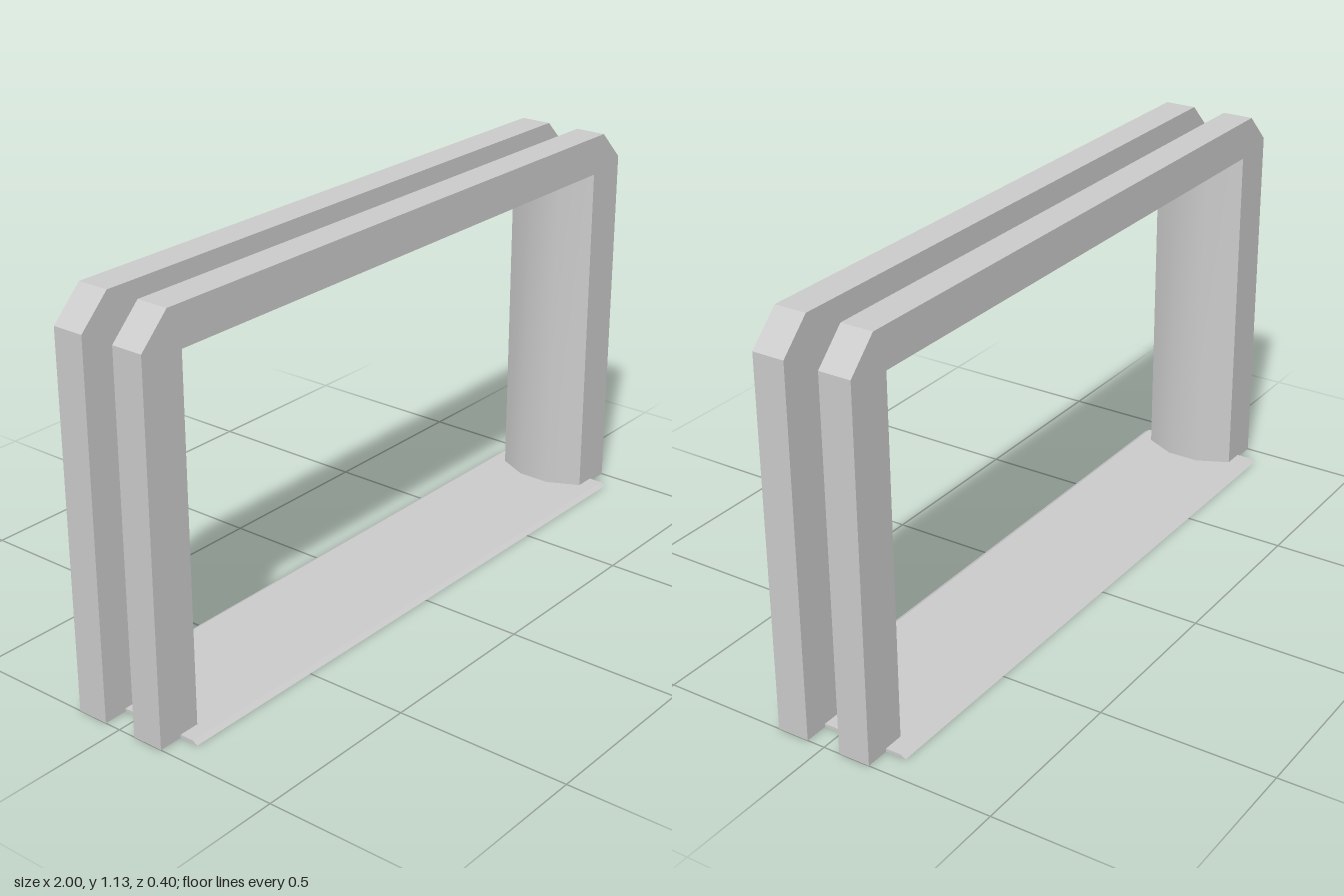
import * as THREE from 'three';
import { mergeGeometries, toCreasedNormals } from 'three/addons/utils/BufferGeometryUtils.js';

const OUT = 0.142, GAP = 0.05;          // outer and gap-side z of each casing
const WIDE = 0.87, HIGH = 1.02;         // opening at the outer faces
const NARROW = 0.825, LOW = 0.972;      // opening at the middle panel

// One casing: a chamfered arch whose opening narrows toward the middle
function casing() {
  const shape = new THREE.Shape([
    [-1, 0], [-WIDE, 0], [-WIDE, HIGH], [WIDE, HIGH], [WIDE, 0],
    [1, 0], [1, 1.047], [0.913, 1.133], [-0.913, 1.133], [-1, 1.047],
  ].map(p => new THREE.Vector2(...p)));
  const g = new THREE.ExtrudeGeometry(shape, { depth: OUT - GAP, bevelEnabled: false });
  g.translate(0, 0, GAP);
  const p = g.attributes.position;
  for (let i = 0; i < p.count; i++) {
    if (p.getZ(i) < GAP + 0.001 && Math.abs(Math.abs(p.getX(i)) - WIDE) < 0.001) {
      p.setX(i, Math.sign(p.getX(i)) * NARROW);
      if (p.getY(i) > 1) p.setY(i, LOW);
    }
  }
  return g;
}

// Thin panel joining the two casings: left, top and right
function panel(width, height, x, y, turn) {
  const g = new THREE.PlaneGeometry(width, height).toNonIndexed();
  return turn(g).translate(x, y, 0);
}

export function createModel() {
  const group = new THREE.Group();
  const material = new THREE.MeshStandardMaterial({ color: 0xcccccc, side: THREE.DoubleSide });

  // Door frame, with soft shading across the shallow inner bends
  const parts = [
    casing(),
    casing().rotateY(Math.PI),
    panel(2 * GAP, LOW, NARROW, LOW / 2, g => g.rotateY(-Math.PI / 2)),
    panel(2 * GAP, LOW, -NARROW, LOW / 2, g => g.rotateY(Math.PI / 2)),
    panel(2 * NARROW, 2 * GAP, 0, LOW, g => g.rotateX(Math.PI / 2)),
  ];
  const frame = new THREE.Mesh(toCreasedNormals(mergeGeometries(parts), 0.6), material);
  frame.name = 'doorFrame';
  frame.position.z = 0.002;
  group.add(frame);

  // Threshold plate with sloped long edges
  const profile = new THREE.Shape([
    [-0.2, 0], [0.2, 0], [0.185, 0.009], [-0.185, 0.009],
  ].map(p => new THREE.Vector2(...p)));
  const plate = new THREE.ExtrudeGeometry(profile, { depth: 1.86, bevelEnabled: false });
  plate.translate(0, 0, -0.93).rotateY(Math.PI / 2);
  const threshold = new THREE.Mesh(plate, material);
  threshold.name = 'threshold';
  group.add(threshold);

  return group;
}
